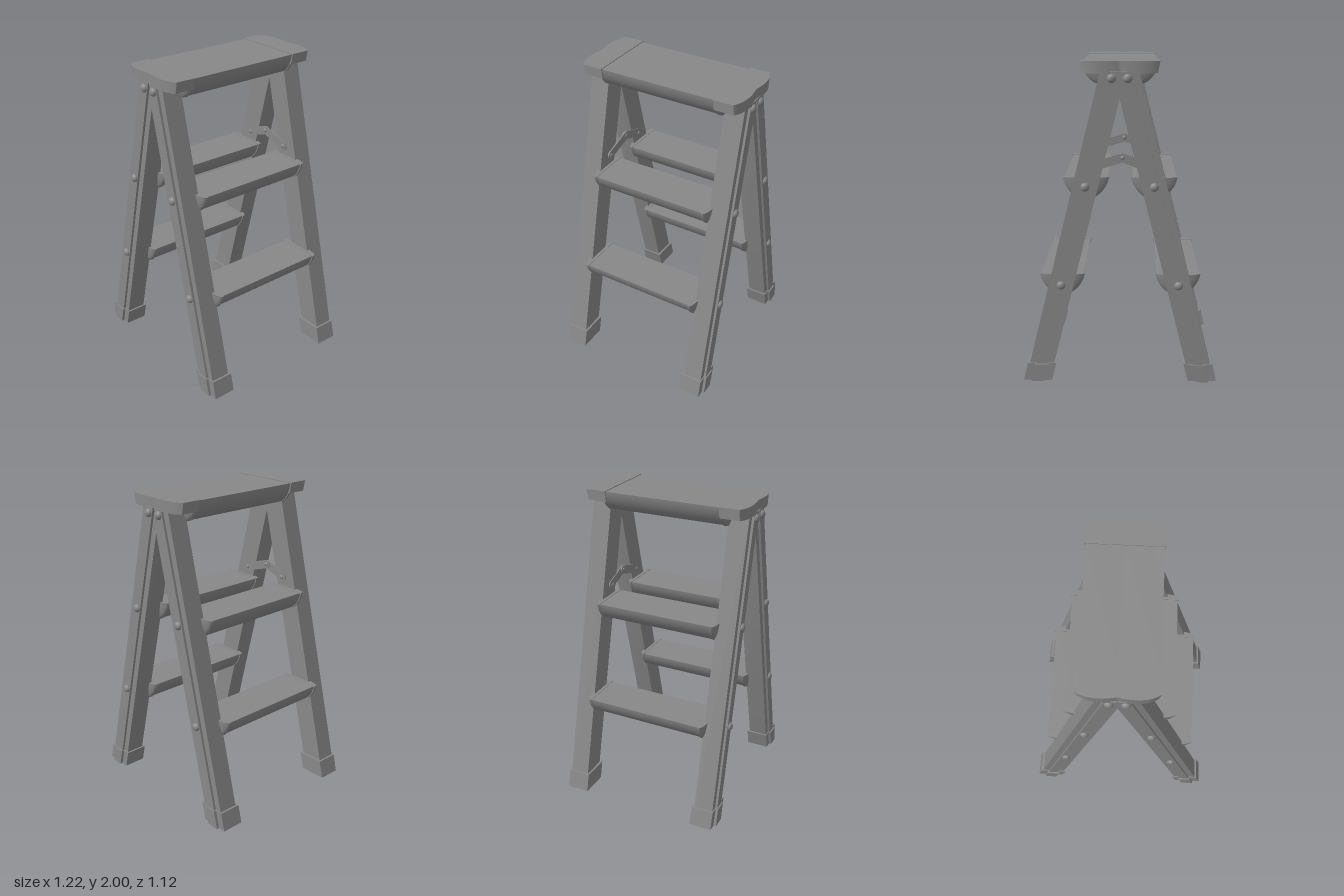
import * as THREE from 'three';
import { toCreasedNormals } from 'three/addons/utils/BufferGeometryUtils.js';

const material = new THREE.MeshStandardMaterial({ color: 0x888888 });

// centre line of a leg: x at a given height
const legX = (y) => 0.521 - 0.249 * y;

function add(parent, name, geometry, x = 0, y = 0, z = 0) {
  const mesh = new THREE.Mesh(geometry, material);
  mesh.name = name;
  mesh.position.set(x, y, z);
  parent.add(mesh);
  return mesh;
}

// extrude an outline in the xy plane between two z values
function slab(shape, z0, z1) {
  const geo = new THREE.ExtrudeGeometry(shape, { depth: z1 - z0, bevelEnabled: false, curveSegments: 20 });
  geo.translate(0, 0, z0);
  return toCreasedNormals(geo, 0.6);
}

// slanted strip following a leg, mitred where it meets the centre plane
function legStrip(half, y0, y1, z0, z1, side) {
  const pts = [[legX(y0) - half, y0], [legX(y0) + half, y0], [legX(y1) + half, y1]];
  const inner = legX(y1) - half;
  if (inner < 0) pts.push([0, y1], [0, (0.521 - half) / 0.249]);
  else pts.push([inner, y1]);
  const shape = new THREE.Shape(pts.map(([x, y]) => new THREE.Vector2(x * side, y)));
  return slab(shape, z0, z1);
}

// steepens the sides of a half circle: radius factor for a unit direction
const flank = (c, s) => 1 - 0.13 * c * c * Math.abs(s);

// flat top, rounded underside with steep sides
function halfRound(a, depth) {
  const pts = [];
  for (let i = 0; i <= 36; i++) {
    const t = Math.PI * (1 + i / 36);
    const c = Math.cos(t), s = Math.sin(t), k = flank(c, s);
    pts.push(new THREE.Vector2(a * c * k, depth * s * k));
  }
  return new THREE.Shape(pts);
}

// quarter dome closing the end of a step: flat above, flat on its inner side
function dome(a, depth, bulge) {
  const geo = new THREE.SphereGeometry(1, 36, 24);
  const p = geo.attributes.position;
  for (let i = 0; i < p.count; i++) {
    const x = p.getX(i), y = Math.min(p.getY(i), 0);
    const r = Math.hypot(x, y) || 1;
    const k = flank(x / r, y / r);
    p.setXYZ(i, x * a * k, y * depth * k, Math.max(p.getZ(i), 0) * bulge);
  }
  return toCreasedNormals(geo, 0.6);
}

// step with a slightly larger rim and domed end at both sides
function addStep(parent, name, x, y, a) {
  const step = new THREE.Group();
  step.name = name;
  step.position.set(x, y, 0);
  add(step, 'tread', slab(halfRound(a - 0.008, 0.134), -0.385, 0.385), 0, -0.003);
  for (const turn of [0, Math.PI]) {
    const end = new THREE.Group();
    end.name = 'stepEnd';
    end.rotation.y = turn;
    add(end, 'rim', slab(halfRound(a, 0.141), 0.38, 0.395));
    add(end, 'dome', dome(a, 0.14, 0.03), 0, 0, 0.394);
    step.add(end);
  }
  parent.add(step);
}

function rivet(r, height) {
  const geo = new THREE.SphereGeometry(r, 20, 8, 0, Math.PI * 2, 0, Math.PI / 2);
  geo.scale(1, height / r, 1);
  geo.rotateX(Math.PI / 2);
  return geo;
}

// flat bar with round ends, from a to b
function bar(a, b, r) {
  const angle = Math.atan2(b[1] - a[1], b[0] - a[0]);
  const s = new THREE.Shape();
  s.absarc(a[0], a[1], r, angle + Math.PI / 2, angle + Math.PI * 1.5, false);
  s.absarc(b[0], b[1], r, angle - Math.PI / 2, angle + Math.PI / 2, false);
  return s;
}

// scalloped end of the top platform
function addTopEnd(parent, turn) {
  const s = new THREE.Shape();
  s.moveTo(-0.235, 0.378);
  s.lineTo(0.235, 0.378);
  s.lineTo(0.235, 0.505);
  s.bezierCurveTo(0.18, 0.545, 0.09, 0.55, 0, 0.53);
  s.bezierCurveTo(-0.09, 0.55, -0.18, 0.545, -0.235, 0.505);
  const geo = slab(s, 0, 0.07);
  geo.rotateX(Math.PI / 2);
  const p = geo.attributes.position;
  for (let i = 0; i < p.count; i++) {
    if (p.getY(i) < -0.01) p.setX(i, p.getX(i) * 0.94);
  }
  add(parent, 'topEnd', geo, 0, 2, 0).rotation.y = turn;
}

export function createModel() {
  const model = new THREE.Group();
  model.name = 'stepLadder';
  const stepHeights = [0.67, 1.293];
  const rivetHeights = [0.64, 1.26, 1.902];

  // legs, feet and rivets
  for (const end of [1, -1]) {
    const span = (z0, z1) => (end > 0 ? [z0, z1] : [-z1, -z0]);
    for (const side of [1, -1]) {
      const leg = new THREE.Group();
      leg.name = (end > 0 ? 'front' : 'back') + (side > 0 ? 'Left' : 'Right') + 'Leg';
      add(leg, 'legBeam', legStrip(0.077, 0.02, 1.94, ...span(0.4, 0.525), side));
      add(leg, 'legRib', legStrip(0.033, 0.02, 1.94, ...span(0.5, 0.54), side));
      add(leg, 'foot', legStrip(0.09, 0, 0.115, ...span(0.386, 0.532), side));
      add(leg, 'footRib', legStrip(0.041, 0, 0.115, ...span(0.5, 0.549), side));
      for (const y of rivetHeights) {
        const head = add(leg, 'rivet', rivet(0.027, 0.021), legX(y) * side, y, 0.539 * end);
        if (end < 0) head.rotation.y = Math.PI;
      }
      model.add(leg);
    }

    // folding brace between the two legs
    const brace = new THREE.Group();
    brace.name = 'foldingBrace';
    const joint = [-0.015, 1.412];
    const ends = [[-0.165, 1.357], [0.165, 1.357]];
    ends.forEach((e, i) => {
      add(brace, 'braceArm', slab(bar(e, joint, 0.028), ...span(0.394 - i * 0.006, 0.403 - i * 0.006)));
    });
    for (const [x, y] of [joint, ...ends]) {
      const head = add(brace, 'braceRivet', rivet(0.014, 0.008), x, y, 0.388 * end);
      if (end > 0) head.rotation.y = Math.PI;
    }
    // outward face of the middle joint
    const outer = add(brace, 'braceRivet', rivet(0.014, 0.008), ...joint, 0.403 * end);
    if (end < 0) outer.rotation.y = Math.PI;
    model.add(brace);
  }

  // steps on both sides
  for (const side of [1, -1]) {
    for (const y of stepHeights) {
      addStep(model, 'step', side * (legX(y) + 0.011), y, 0.142);
    }
    addStep(model, 'topHalf', side * 0.115, 1.998, 0.119);
  }

  // top platform joining the two halves
  add(model, 'topPlate', new THREE.BoxGeometry(0.4, 0.055, 0.78), 0, 1.9675, 0);
  addTopEnd(model, 0);
  addTopEnd(model, Math.PI);

  return model;
}
